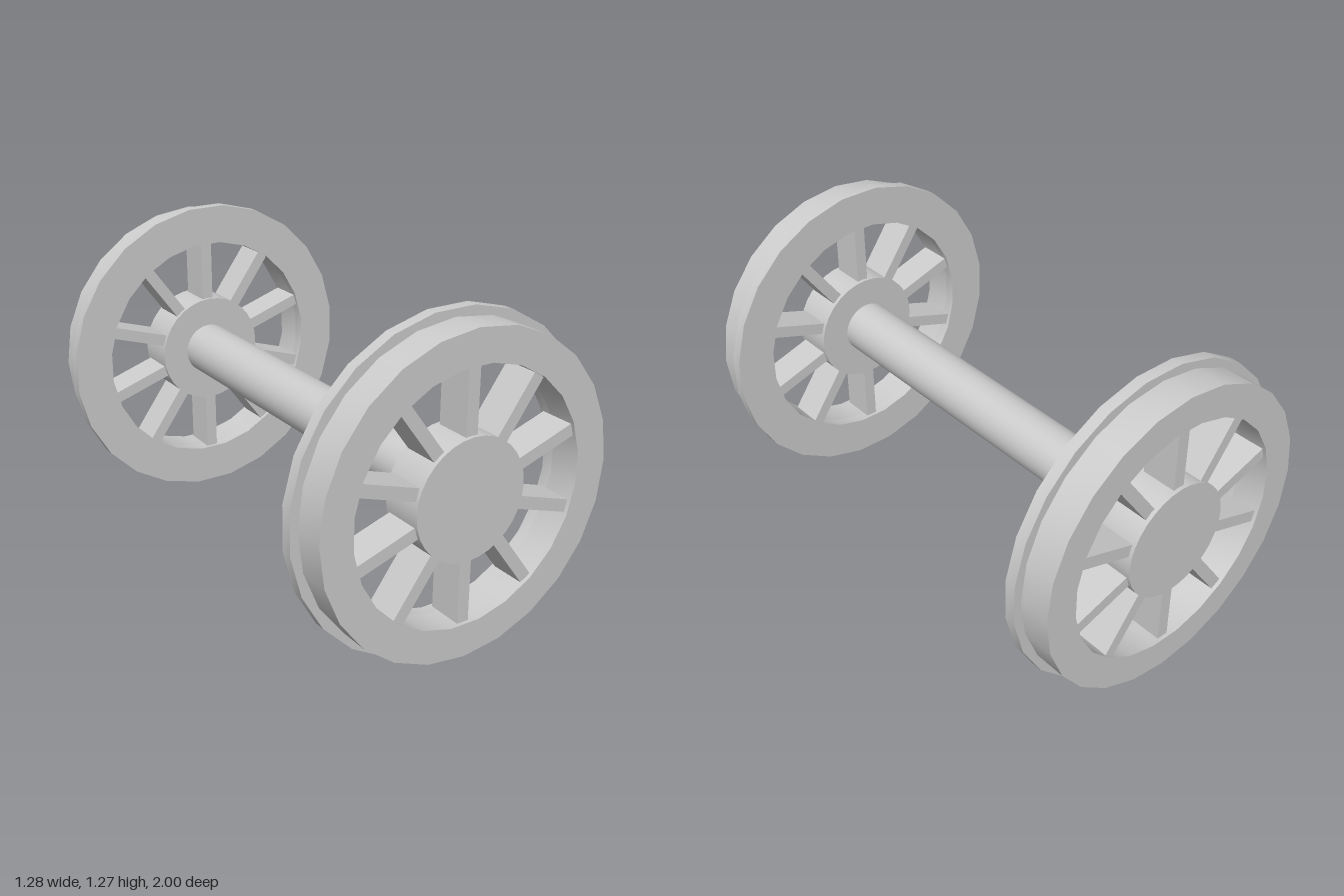
import * as THREE from 'three';
import { toCreasedNormals } from 'three/addons/utils/BufferGeometryUtils.js';

const SIDES = 24;
const AXLE_Y = 0.638;

// Regular polygon points; turn is a fraction of one side
function ngon(radius, turn) {
  return Array.from({ length: SIDES }, (_, i) => {
    const a = ((i + turn) / SIDES) * Math.PI * 2;
    return new THREE.Vector2(radius * Math.cos(a), radius * Math.sin(a));
  });
}

// Flat ring with a rounded wall, from z0 to z1
function ring(outer, turn, inner, z0, z1) {
  const shape = new THREE.Shape(ngon(outer, turn));
  shape.holes.push(new THREE.Path(ngon(inner, 0.5).reverse()));
  const geo = new THREE.ExtrudeGeometry(shape, { depth: z1 - z0, bevelEnabled: false });
  geo.translate(0, 0, z0);
  return toCreasedNormals(geo, Math.PI / 6);
}

export function createModel() {
  const model = new THREE.Group();
  model.name = 'wheelset';
  const steel = new THREE.MeshStandardMaterial({ color: 0xcccccc });
  steel.name = 'grey steel';

  const add = (parent, geo, name) => {
    const mesh = new THREE.Mesh(geo, steel);
    mesh.name = name;
    parent.add(mesh);
    return mesh;
  };

  // Wheel with its outer face at z = 1 and the flange inboard
  function makeWheel(name) {
    const wheel = new THREE.Group();
    wheel.name = name;
    add(wheel, ring(0.609, 0, 0.481, 0.875, 1), 'tread');
    add(wheel, ring(0.643, 0.5, 0.481, 0.83, 0.875), 'flange');

    const hub = new THREE.CylinderGeometry(0.23, 0.23, 0.17, 32);
    hub.rotateX(Math.PI / 2);
    add(wheel, hub, 'hub').position.z = 0.915;

    // Ten spokes, slightly recessed from both faces
    for (let i = 0; i < 10; i++) {
      const geo = new THREE.BoxGeometry(0.048, 0.3, 0.14);
      geo.translate(0, 0.34, 0.915);
      add(wheel, geo, 'spoke').rotation.z = (i * Math.PI) / 5;
    }
    return wheel;
  }

  const frontWheel = makeWheel('frontWheel');
  frontWheel.position.set(-0.006, AXLE_Y, 0);
  const backWheel = makeWheel('backWheel');
  backWheel.rotation.y = Math.PI;
  backWheel.position.set(0.004, AXLE_Y, 0);
  model.add(frontWheel, backWheel);

  // Axle between the hubs
  const axle = new THREE.CylinderGeometry(0.108, 0.108, 1.68, 32);
  axle.rotateX(Math.PI / 2);
  add(model, axle, 'axle').position.set(-0.006, AXLE_Y + 0.003, 0);

  return model;
}
